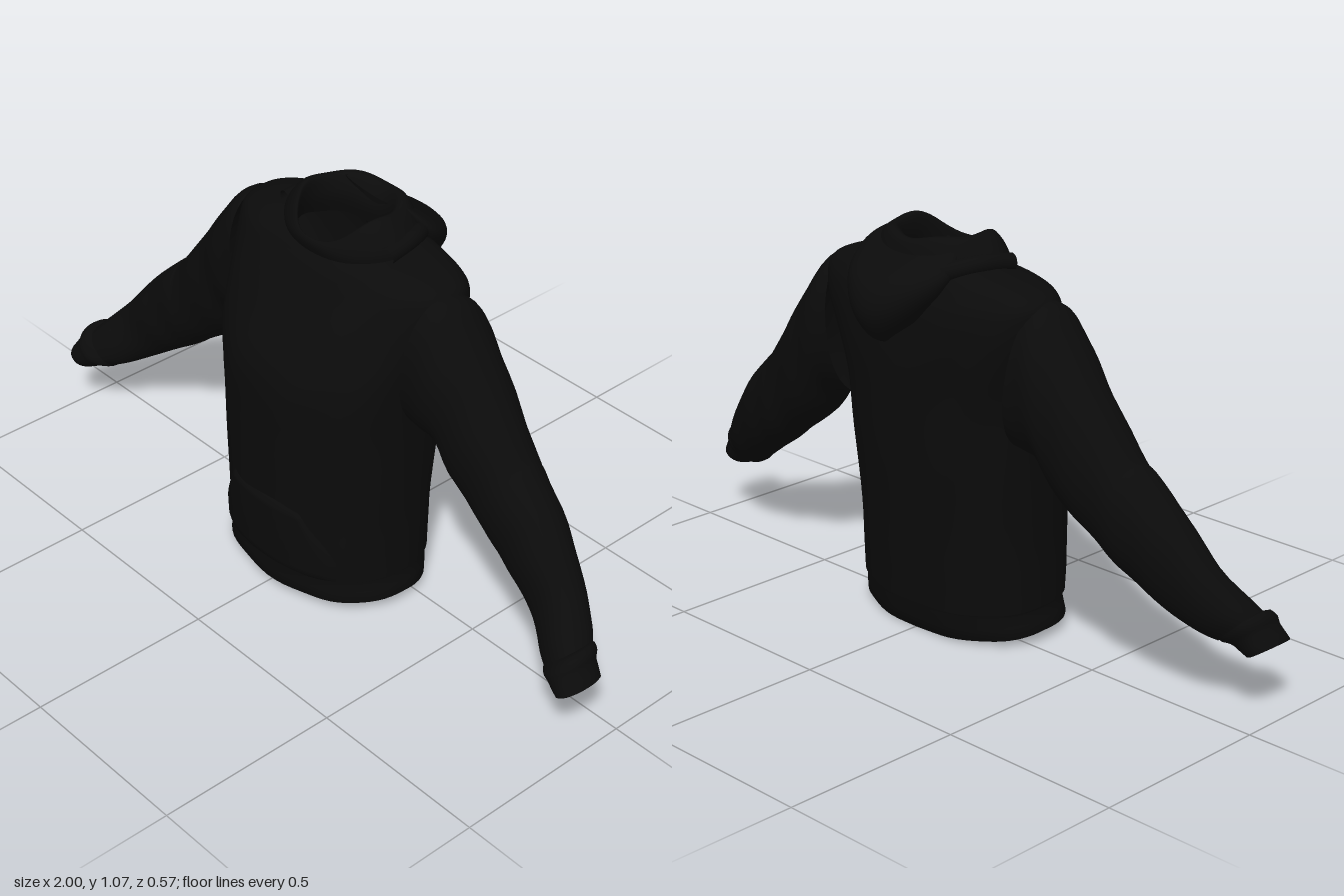
import * as THREE from 'three';

const fabric = new THREE.MeshStandardMaterial({ color: 0x0b0b0b, side: THREE.DoubleSide });
fabric.name = 'black fabric';

// Surface through a grid of points; closed joins each row into a ring
function surface(name, rows, closed = true) {
  const n = rows[0].length, pos = [], idx = [];
  rows.forEach(r => r.forEach(p => pos.push(p.x, p.y, p.z)));
  for (let j = 0; j < rows.length - 1; j++)
    for (let i = 0; i < (closed ? n : n - 1); i++) {
      const a = j * n + i, b = j * n + (i + 1) % n, c = a + n, d = b + n;
      idx.push(a, c, b, b, c, d);
    }
  const g = new THREE.BufferGeometry();
  g.setAttribute('position', new THREE.Float32BufferAttribute(pos, 3));
  g.setIndex(idx);
  g.computeVertexNormals();
  const m = new THREE.Mesh(g, fabric);
  m.name = name;
  return m;
}

const ring = (f, n = 56) => Array.from({ length: n }, (_, i) => f(i / n * Math.PI * 2));
const power = (v, n) => Math.sign(v) * Math.abs(v) ** (2 / n);
const V = (x, y, z) => new THREE.Vector3(x, y, z);

// Refine a table of sections with smooth interpolation
function refine(table, k) {
  const out = [];
  for (let i = 0; i < table.length - 1; i++)
    for (let s = 0; s < k; s++) {
      const t = s / k, at = j => table[Math.max(0, Math.min(table.length - 1, j))];
      out.push(table[i].map((p1, c) => {
        const p0 = at(i - 1)[c], p2 = at(i + 1)[c], p3 = at(i + 2)[c];
        return p1 + 0.5 * t * (p2 - p0 + t * (2 * p0 - 5 * p1 + 4 * p2 - p3 + t * (3 * (p1 - p2) + p3 - p0)));
      }));
    }
  out.push(table[table.length - 1]);
  return out;
}

// Body sections: height, half width, front z, back z
const BODY = [
  [0.1, 0.288, 0.272, -0.153], [0.2, 0.287, 0.277, -0.162], [0.3, 0.288, 0.278, -0.17],
  [0.5, 0.298, 0.277, -0.188], [0.67, 0.315, 0.273, -0.195], [0.8, 0.342, 0.215, -0.195],
  [0.9, 0.362, 0.16, -0.185], [0.945, 0.352, 0.135, -0.168], [0.975, 0.29, 0.122, -0.155],
  [1.0, 0.19, 0.105, -0.14],
];
const HEM = [[0.1, 0.286, 0.266, -0.15], [0.09, 0.282, 0.261, -0.147], [0.06, 0.288, 0.262, -0.142],
  [0.03, 0.296, 0.262, -0.132], [0.034, 0.286, 0.252, -0.122], [0.09, 0.274, 0.252, -0.138]];

function bodyRing([y, a, zf, zb]) {
  const low = Math.max(0, Math.min(1, (0.14 - y) / 0.1));
  const neck = Math.max(0, (y - 0.945) / 0.055);
  const cz = (zf + zb) / 2 - 0.02, n = 2.3 + 0.5 * Math.max(0, 1 - Math.abs(y - 0.85) / 0.2);
  return ring(t => {
    const c = Math.cos(t), s = Math.sin(t), e = s > 0 ? 2.25 : n;
    const fold = 0.003 * Math.sin(t * 9 + y * 14) * (1 - neck);
    return V(a * power(c, e), y + low * (0.01 * Math.abs(c) - 0.02 * Math.max(0, -s)) - 0.025 * neck * Math.max(0, s),
      cz + (s > 0 ? zf - cz : cz - zb) * power(s, e) + fold * s);
  }, 72);
}

// Front z of the body at a given x and y
const bodyRows = refine(BODY, 4);
function frontZ(x, y) {
  const r = bodyRows.reduce((p, q) => Math.abs(q[0] - y) < Math.abs(p[0] - y) ? q : p);
  const cz = (r[2] + r[3]) / 2 - 0.02;
  return cz + (r[2] - cz) * (1 - Math.abs(x / r[1]) ** 2.25) ** (1 / 2.25);
}

// Sleeve sections: top x, top y, bottom x, bottom y, back z, front z
const SLEEVE = [
  [0.345, 0.945, 0.295, 0.56, -0.14, 0.1], [0.385, 0.93, 0.34, 0.555, -0.145, 0.1],
  [0.44, 0.865, 0.39, 0.54, -0.14, 0.09], [0.52, 0.76, 0.44, 0.465, -0.13, 0.08],
  [0.63, 0.615, 0.55, 0.385, -0.106, 0.075], [0.66, 0.59, 0.6, 0.345, -0.1, 0.077],
  [0.76, 0.495, 0.67, 0.3, -0.08, 0.08], [0.85, 0.385, 0.76, 0.24, -0.045, 0.09],
  [0.92, 0.305, 0.82, 0.205, -0.01, 0.13], [0.945, 0.275, 0.855, 0.19, 0.015, 0.145],
];
const CUFF = [
  [0.935, 0.275, 0.85, 0.2, 0.02, 0.14], [0.955, 0.285, 0.86, 0.185, 0.02, 0.155],
  [0.97, 0.27, 0.875, 0.185, 0.026, 0.165], [0.975, 0.25, 0.89, 0.18, 0.036, 0.165],
  [0.999, 0.213, 0.925, 0.163, 0.045, 0.172], [0.99, 0.215, 0.93, 0.172, 0.055, 0.162],
  [0.96, 0.25, 0.885, 0.2, 0.05, 0.15],
];
const sleeveRing = side => ([tx, ty, bx, by, zb, zf]) => ring(t => {
  const u = (1 + power(Math.cos(t), 2.2)) / 2, s = power(Math.sin(t), 2.2);
  const fold = 1 + 0.025 * Math.sin(tx * 55 + t * 2);
  return V(side * (bx + (tx - bx) * u), by + (ty - by) * u, (zb + zf) / 2 + (zf - zb) / 2 * s * fold);
}, 40);

export function createModel() {
  const model = new THREE.Group();
  model.add(surface('body', bodyRows.map(bodyRing)));
  model.add(surface('hemBand', HEM.map(bodyRing)));

  for (const [side, label] of [[1, 'left'], [-1, 'right']]) {
    const arm = new THREE.Group();
    arm.name = label + 'Arm';
    arm.add(surface(label + 'Sleeve', refine(SLEEVE, 4).map(sleeveRing(side))));
    arm.add(surface(label + 'Cuff', refine(CUFF, 2).map(sleeveRing(side))));
    model.add(arm);
  }

  // Front pocket with slanted hand openings
  const pocket = [];
  for (let j = 0; j <= 16; j++) {
    const y = 0.1 + 0.21 * j / 16, w = y < 0.16 ? 0.22 : 0.22 - 0.09 * (y - 0.16) / 0.15;
    pocket.push(Array.from({ length: 25 }, (_, i) => {
      const x = w * (i / 12 - 1), edge = i === 0 || i === 24 || j === 0 || j === 16;
      return V(x, y, frontZ(x, y) + (edge ? -0.004 : 0.008));
    }));
  }
  model.add(surface('frontPocket', pocket, false));

  // Hood collar: half width, front z, back z, then front, side and back heights
  const COLLAR = [
    [0.2, 0.11, -0.165, 0.955, 0.985, 0.96], [0.195, 0.12, -0.17, 0.98, 1.01, 1.0],
    [0.17, 0.122, -0.162, 0.995, 1.045, 1.04], [0.14, 0.117, -0.15, 1.005, 1.072, 1.062],
    [0.122, 0.112, -0.125, 1.0, 1.068, 1.055], [0.122, 0.11, -0.1, 0.98, 1.02, 1.01],
    [0.14, 0.11, -0.11, 0.95, 0.97, 0.95],
  ];
  model.add(surface('hoodCollar', refine(COLLAR, 3).map(([a, zf, zb, yf, ys, yb]) => ring(t => {
    const c = Math.cos(t), s = Math.sin(t), k = s * s;
    return V(a * c + 0.008, ys + ((s > 0 ? yf : yb) - ys) * k + 0.004 * Math.sin(5 * t),
      (zf + zb) / 2 + (zf - zb) / 2 * s);
  }))));

  // Hood lying on the back: centre y, centre z, half width, half thickness, tilt
  const HOOD = [
    [1.04, -0.115, 0.1, 0.012, 0.4], [1.01, -0.135, 0.145, 0.032, 0.5], [0.97, -0.165, 0.165, 0.05, 0.6],
    [0.925, -0.205, 0.15, 0.066, 0.5], [0.88, -0.22, 0.12, 0.065, 0.1], [0.835, -0.215, 0.08, 0.042, -0.2],
    [0.81, -0.205, 0.03, 0.015, -0.3], [0.805, -0.2, 0.001, 0.001, -0.3],
  ];
  model.add(surface('drapedHood', refine(HOOD, 4).map(([y, z, w, h, tilt]) => ring(t => {
    const c = Math.cos(t), s = Math.sin(t) * h;
    return V(0.02 + w * c, y + s * Math.sin(tilt) * -1 + 0.03 * c * c, z + s * Math.cos(tilt) + 0.03 * c * c);
  }))));

  // Rolled fold of the hood around the back of the neck
  const fold = new THREE.CatmullRomCurve3([V(-0.18, 1.0, 0.03), V(-0.165, 1.01, -0.08), V(-0.09, 0.985, -0.165),
    V(0.02, 0.965, -0.2), V(0.11, 0.985, -0.165), V(0.175, 1.01, -0.08), V(0.19, 1.0, 0.03)]);
  const roll = new THREE.Mesh(new THREE.TubeGeometry(fold, 40, 0.024, 12), fabric);
  roll.name = 'hoodFold';
  model.add(roll);
  return model;
}
